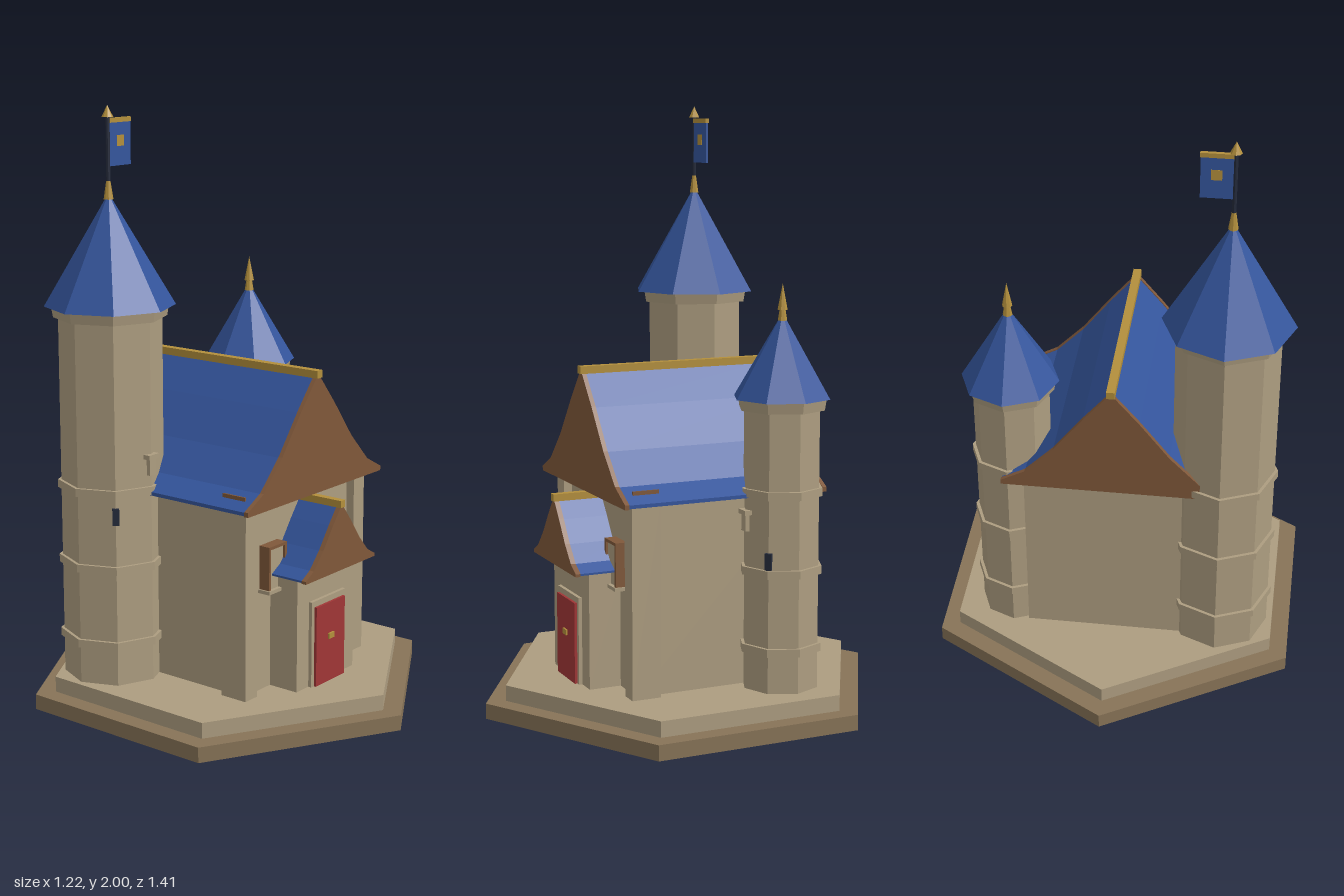
import * as THREE from 'three';

const mat = (name, color) => {
  const m = new THREE.MeshStandardMaterial({ color });
  m.name = name;
  return m;
};

export function createModel() {
  const stone = mat('stone', 0xad9d80);
  const darkStone = mat('darkStone', 0x877357);
  const blue = mat('roofBlue', 0x34559c);
  const brown = mat('timber', 0x80583a);
  const gold = mat('gold', 0xb38f3c);
  const red = mat('doorRed', 0xa03636);
  const dark = mat('darkIron', 0x242a3a);

  const model = new THREE.Group();
  model.name = 'castle';

  const add = (parent, name, geo, material, x = 0, y = 0, z = 0) => {
    const flat = geo.index ? geo.toNonIndexed() : geo;
    flat.computeVertexNormals();
    const mesh = new THREE.Mesh(flat, material);
    mesh.name = name;
    mesh.position.set(x, y, z);
    parent.add(mesh);
    return mesh;
  };
  // Box given by its extents
  const box = (parent, name, material, x0, x1, y0, y1, z0, z1) =>
    add(parent, name, new THREE.BoxGeometry(x1 - x0, y1 - y0, z1 - z0), material,
      (x0 + x1) / 2, (y0 + y1) / 2, (z0 + z1) / 2);
  // Prism or cone standing between two heights
  const prism = (parent, name, material, rTop, rBottom, y0, y1, sides = 8) =>
    add(parent, name, new THREE.CylinderGeometry(rTop, rBottom, y1 - y0, sides), material, 0, (y0 + y1) / 2, 0);

  // Hexagonal stepped base
  prism(model, 'lowerBase', darkStone, 0.705, 0.705, 0, 0.052, 6);
  prism(model, 'upperBase', stone, 0.635, 0.635, 0.052, 0.105, 6);

  // Hall walls with corner pilasters
  box(model, 'hallWalls', stone, -0.3, 0.3, 0.105, 0.75, -0.32, 0.29);
  for (const s of [-1, 1]) {
    const x = s * 0.3;
    box(model, 'cornerPilaster', stone, x - 0.03, x + 0.03, 0.105, 0.75, 0.22, 0.32);
  }

  // Swept gable roof: blue body, timber gable faces, gold ridge
  const gable = (half, lift, y0, y1, z0, z1) => {
    const sweep = [[0, 1], [0.25, 0.72], [0.52, 0.39], [0.78, 0.14], [1, 0.03], [1, 0]];
    const right = sweep.map(([u, v]) => [u * half, y0 + v * (y1 - y0) + (v > 0 ? lift : 0)]);
    const left = right.slice(1).reverse().map(([x, y]) => [-x, y]);
    const shape = new THREE.Shape([...right, ...left].map(([x, y]) => new THREE.Vector2(x, y)));
    const geo = new THREE.ExtrudeGeometry(shape, { depth: z1 - z0, bevelEnabled: false });
    return geo.translate(0, 0, z0);
  };
  const mainRoof = new THREE.Group();
  mainRoof.name = 'mainRoof';
  model.add(mainRoof);
  add(mainRoof, 'roofSlopes', gable(0.368, 0, 0.745, 1.14, -0.345, 0.345), blue);
  add(mainRoof, 'frontGable', gable(0.37, 0.004, 0.743, 1.14, 0.345, 0.36), brown);
  add(mainRoof, 'backGable', gable(0.37, 0.004, 0.743, 1.14, -0.36, -0.345), brown);
  box(mainRoof, 'ridge', gold, -0.014, 0.014, 1.13, 1.155, -0.366, 0.366);
  for (const s of [-1, 1])
    box(mainRoof, 'roofBattens', brown, s * 0.325 - 0.003, s * 0.325 + 0.003, 0.77, 0.791, 0.225, 0.315);

  // Porch
  const porch = new THREE.Group();
  porch.name = 'porch';
  model.add(porch);
  box(porch, 'porchWalls', stone, -0.16, 0.16, 0.105, 0.51, 0.28, 0.4);
  add(porch, 'porchSlopes', gable(0.193, 0, 0.5, 0.72, 0.27, 0.443), blue);
  add(porch, 'porchGable', gable(0.196, 0.003, 0.498, 0.72, 0.443, 0.46), brown);
  box(porch, 'porchRidge', gold, -0.012, 0.012, 0.712, 0.736, 0.28, 0.464);
  box(porch, 'doorFrame', stone, -0.095, 0.095, 0.105, 0.4, 0.39, 0.412);
  box(porch, 'door', red, -0.08, 0.08, 0.105, 0.38, 0.4, 0.421);
  box(porch, 'doorHandle', gold, -0.015, 0.015, 0.255, 0.274, 0.42, 0.427);

  // Front windows: thin timber frame and stone sill
  for (const s of [-1, 1]) {
    const win = new THREE.Group();
    win.name = 'frontWindow';
    win.position.x = s * 0.172;
    model.add(win);
    for (const t of [-1, 1])
      box(win, 'windowJamb', brown, t * 0.042 - 0.005, t * 0.042 + 0.005, 0.455, 0.6, 0.28, 0.33);
    box(win, 'windowHead', brown, -0.047, 0.047, 0.592, 0.602, 0.28, 0.33);
    box(win, 'windowPane', stone, -0.04, 0.04, 0.455, 0.592, 0.28, 0.322);
    box(win, 'windowSill', stone, -0.053, 0.053, 0.443, 0.455, 0.28, 0.335);
  }

  // Octagonal towers
  const tower = (name, x, z, r, top, roofR, roofTop, slitY, bracketY) => {
    const g = new THREE.Group();
    g.name = name;
    g.position.set(x, 0, z);
    model.add(g);
    prism(g, 'towerShaft', stone, r, r, 0.105, top);
    for (const y of [0.23, 0.49, 0.748])
      prism(g, 'towerBand', stone, r + 0.011, r + 0.011, y, y + 0.027);
    prism(g, 'towerCollar', stone, r + 0.022, r + 0.016, top - 0.036, top);
    prism(g, 'towerRoof', blue, 0, roofR, top, roofTop);
    // Arrow slit on the outer front corner
    const a = Math.sign(x) * Math.PI / 4;
    const slit = add(g, 'arrowSlit', new THREE.BoxGeometry(0.022, 0.055, 0.02), dark,
      Math.sin(a) * r, slitY, Math.cos(a) * r);
    slit.rotation.y = a;
    // Small stone bracket on the front corner
    box(g, 'bracketStem', stone, -0.015, 0.015, bracketY, bracketY + 0.055, r - 0.02, r + 0.008);
    box(g, 'bracketCap', stone, -0.025, 0.025, bracketY + 0.055, bracketY + 0.07, r - 0.02, r + 0.014);
    return g;
  };
  const tall = tower('tallTower', -0.36, -0.218, 0.17, 1.355, 0.215, 1.72, 0.688, 0.813);
  const small = tower('smallTower', 0.353, -0.2, 0.129, 1.065, 0.163, 1.34, 0.547, 0.635);

  // Gold finial on the small tower
  prism(small, 'finialBase', gold, 0.01, 0.016, 1.315, 1.35);
  prism(small, 'finialSpike', gold, 0, 0.017, 1.35, 1.435);

  // Flagpole and flag on the tall tower
  prism(tall, 'poleBase', gold, 0.006, 0.016, 1.7, 1.765);
  prism(tall, 'flagPole', dark, 0.007, 0.007, 1.72, 1.97);
  prism(tall, 'poleTip', gold, 0, 0.019, 1.962, 2);
  box(tall, 'flag', blue, 0.005, 0.105, 1.805, 1.945, -0.004, 0.004);
  box(tall, 'flagTrim', gold, 0.005, 0.107, 1.943, 1.958, -0.006, 0.006);
  box(tall, 'flagEmblem', gold, 0.039, 0.073, 1.867, 1.902, -0.0048, 0.0048);

  return model;
}
